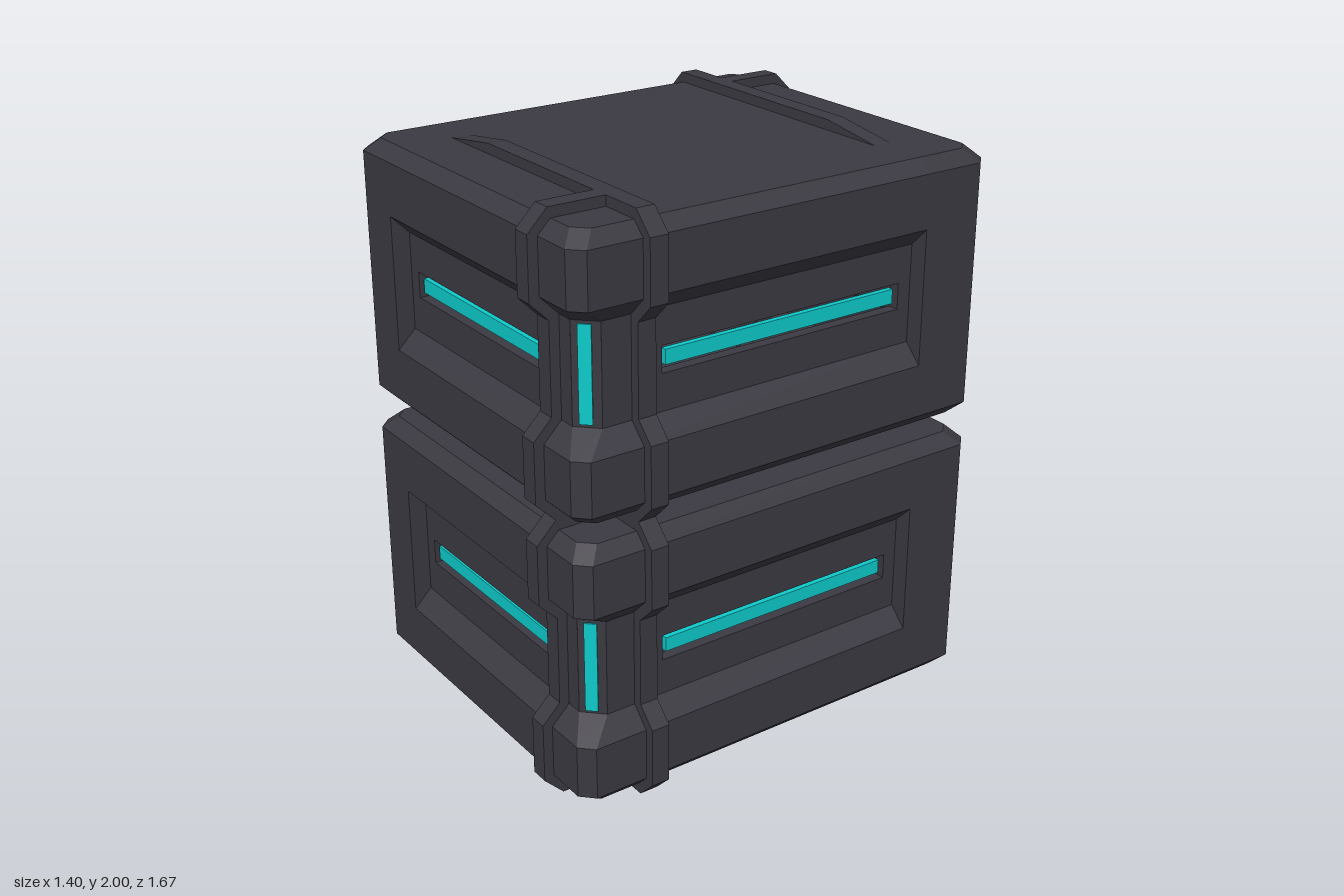
import * as THREE from 'three';

const W = 0.665, D = 0.8;            // half width and half depth of a crate
const CH = 0.045, GROOVE = 0.065;    // edge chamfer, groove depth
const shell = new THREE.MeshStandardMaterial({ color: 0x3b3941, side: THREE.DoubleSide });
shell.name = 'dark shell';
const glow = new THREE.MeshStandardMaterial({ color: 0x0ecaca });
glow.name = 'cyan light';

function mesh(name, geometry, material) {
  const m = new THREE.Mesh(geometry, material);
  m.name = name;
  return m;
}

// Plan outline at one height; the groove wraps two opposite corners
function outline(y, inset, g) {
  const w = W - inset, d = D - inset, c = CH + g * 0.31;
  const half = [
    [w - CH, -d], [w, -d + CH], [w, -0.535], [w - g, -0.535],
    [w - g, d - g - c], [w - g - c, d - g], [-0.45, d - g], [-0.45, d],
  ];
  return [...half, ...half.map(([x, z]) => [-x, -z])].map(([x, z]) => [x, y, z]);
}

// Chamfered body, open where the slotted panels go
function bodyGeometry() {
  const rings = [
    outline(-0.465, CH, 0), outline(-0.42, 0, 0), outline(-0.235, 0, 0), outline(-0.17, 0, GROOVE),
    outline(0.17, 0, GROOVE), outline(0.235, 0, 0), outline(0.42, 0, 0), outline(0.465, CH, 0),
  ];
  const n = rings[0].length, last = rings.length - 1, pos = [];
  const tri = (a, b, c) => pos.push(...a, ...b, ...c);
  for (let r = 0; r < last; r++) {
    for (let j = 0; j < n; j++) {
      if (r === 3 && (j % 8 === 3 || j % 8 === 5)) continue;
      const k = (j + 1) % n, a = rings[r][j], b = rings[r][k], c = rings[r + 1][k], d = rings[r + 1][j];
      tri(b, a, d);
      tri(b, d, c);
    }
  }
  for (let j = 1; j < n - 1; j++) {
    tri(rings[last][0], rings[last][j + 1], rings[last][j]);
    tri(rings[0][0], rings[0][j], rings[0][j + 1]);
  }
  const geo = new THREE.BufferGeometry();
  geo.setAttribute('position', new THREE.Float32BufferAttribute(pos, 3));
  geo.computeVertexNormals();
  return geo;
}

const rect = (Type, u0, u1, h) => new Type([[u0, -h], [u1, -h], [u1, h], [u0, h]].map(p => new THREE.Vector2(...p)));

// Places a (u, y) extrusion on the front (u = x) or the side (u = z)
function extrude(shape, depth, outer, onSide) {
  const geo = new THREE.ExtrudeGeometry(shape, { depth, bevelEnabled: false });
  if (onSide) return geo.rotateY(-Math.PI / 2).translate(outer, 0, 0);
  return geo.translate(0, 0, outer - depth);
}

// Groove floor with a slot, and the light bar inside it
function slottedPanel(from, to, slot, bar, outer, onSide) {
  const g = new THREE.Group();
  g.name = onSide ? 'sidePanel' : 'frontPanel';
  const shape = rect(THREE.Shape, from, to, 0.17);
  shape.holes.push(rect(THREE.Path, slot[0], slot[1], 0.045));
  g.add(mesh('slottedPlate', extrude(shape, 0.04, outer, onSide), shell));
  const strip = rect(THREE.Shape, bar[0], bar[1], 0.025);
  g.add(mesh('lightBar', extrude(strip, 0.02, outer - 0.01, onSide), glow));
  return g;
}

// Raised strap that wraps over the top, down the face, through the groove and under
function strap(name, R, start, outer, onSide) {
  const upper = [
    ...start, [R - 0.035, 0.5], [R + 0.035, 0.43],
    [R + 0.035, 0.22], [R - 0.03, 0.155],
  ];
  const lower = upper.map(([u, y]) => [u, -y]).reverse();
  const inner = [[R - 0.1, -0.455], [R - 0.1, 0.455]];
  const shape = new THREE.Shape([...upper, ...lower, ...inner].map(p => new THREE.Vector2(...p)));
  return mesh(name, extrude(shape, 0.065, outer, onSide), shell);
}

// Panels, straps and corner light around one corner
function cornerSet() {
  const g = new THREE.Group();
  g.name = 'cornerSet';
  g.add(slottedPanel(-0.45, 0.535, [-0.4, 0.365], [-0.385, 0.34], D - GROOVE, false));
  g.add(slottedPanel(-0.535, 0.67, [-0.485, 0.455], [-0.47, 0.435], W - GROOVE, true));
  g.add(strap('frontStrap', D, [[0.5, 0.455], [0.5, 0.5]], 0.475, true));
  g.add(strap('sideStrap', W, [[-0.44, 0.455], [-0.44, 0.465], [-0.2, 0.5]], 0.565, false));
  const light = mesh('cornerLight', new THREE.BoxGeometry(0.042, 0.32, 0.008), glow);
  light.position.set(0.566, 0, 0.706);
  light.rotation.y = Math.PI / 4;
  g.add(light);
  return g;
}

export function createModel() {
  const model = new THREE.Group();
  model.name = 'stackedCrates';
  for (const [name, y] of [['lowerCrate', 0.5], ['upperCrate', 1.5]]) {
    const crate = new THREE.Group();
    crate.name = name;
    crate.position.y = y;
    crate.add(mesh('body', bodyGeometry(), shell));
    const back = cornerSet();
    back.rotation.y = Math.PI;
    crate.add(cornerSet(), back);
    model.add(crate);
  }
  return model;
}
